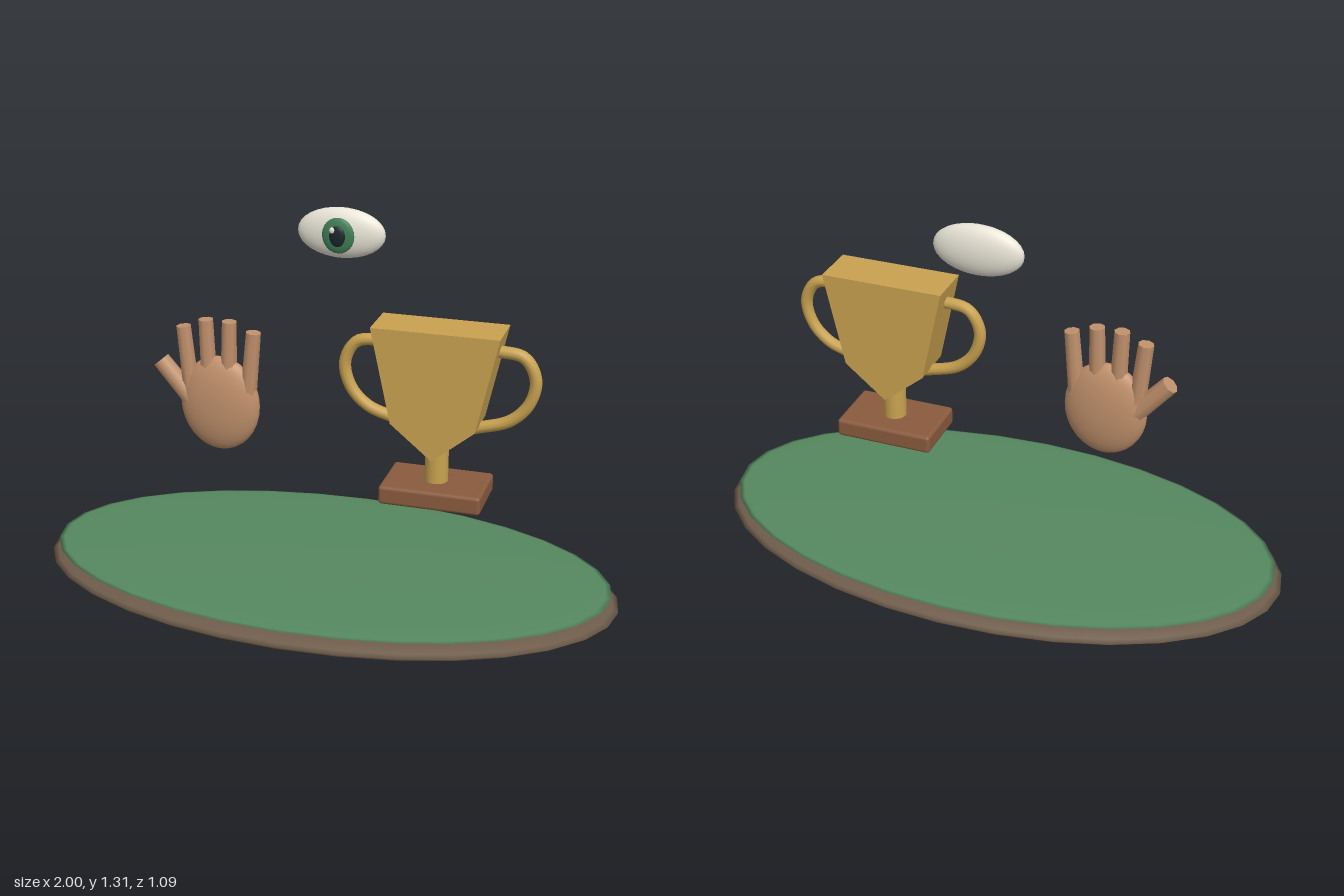
import * as THREE from 'three';
import { RoundedBoxGeometry } from 'three/addons/geometries/RoundedBoxGeometry.js';

const paint = (color) => new THREE.MeshStandardMaterial({ color });
const green = paint(0x55885f), brown = paint(0x6e5c4a), gold = paint(0xc9a250);
const wood = paint(0x8a5b3e), skin = paint(0xc0906b), white = paint(0xe8e4d6);
const irisGreen = paint(0x3f7d56), black = paint(0x1c262c);

function part(parent, name, geometry, material, x = 0, y = 0, z = 0) {
  const mesh = new THREE.Mesh(geometry, material);
  mesh.name = name;
  mesh.position.set(x, y, z);
  parent.add(mesh);
  return mesh;
}

function ellipsoid(parent, name, material, center, radii, segments = 32) {
  const geometry = new THREE.SphereGeometry(1, segments, segments / 2).scale(...radii);
  return part(parent, name, geometry, material, ...center);
}

// Tapered cylinder between two points in the hand's plane
function finger(parent, name, from, to, rTop, rBottom) {
  const a = new THREE.Vector3(...from, 0), b = new THREE.Vector3(...to, 0);
  const dir = b.clone().sub(a);
  const mesh = part(parent, name, new THREE.CylinderGeometry(rTop, rBottom, dir.length(), 8), skin);
  mesh.position.copy(a).add(b).multiplyScalar(0.5);
  mesh.quaternion.setFromUnitVectors(new THREE.Vector3(0, 1, 0), dir.normalize());
}

function createHand() {
  const hand = new THREE.Group();
  hand.name = 'hand';
  ellipsoid(hand, 'palm', skin, [-0.375, 0.643, 0], [0.14, 0.167, 0.05]);
  const tips = [[-0.5, 0.905], [-0.42, 0.935], [-0.337, 0.935], [-0.253, 0.905]];
  tips.forEach(([x, y], i) => {
    const lean = (i - 1.5) * 0.014;
    finger(hand, 'finger' + (i + 1), [x - lean, y - 0.22], [x, y], 0.026, 0.029);
  });
  finger(hand, 'thumb', [-0.46, 0.63], [-0.585, 0.775], 0.031, 0.034);
  return hand;
}

function createTrophy() {
  const trophy = new THREE.Group();
  trophy.name = 'trophy';
  trophy.position.x = 0.377;

  // Solid cup cut from a flat outline
  const outline = [[-0.21, 0.99], [-0.14, 0.67], [0, 0.555], [0.14, 0.67], [0.21, 0.99]];
  const shape = new THREE.Shape(outline.map(([x, y]) => new THREE.Vector2(x, y)));
  const cup = new THREE.ExtrudeGeometry(shape, { depth: 0.16, bevelEnabled: false });
  part(trophy, 'cup', cup.translate(0, 0, -0.08), gold);

  // Curved handles, mirrored left and right
  const path = [[0.18, 0.927], [0.275, 0.912], [0.314, 0.84], [0.295, 0.755], [0.235, 0.693], [0.12, 0.655]];
  for (const side of [1, -1]) {
    const curve = new THREE.CatmullRomCurve3(path.map(([x, y]) => new THREE.Vector3(side * x, y, 0)));
    part(trophy, side > 0 ? 'leftHandle' : 'rightHandle', new THREE.TubeGeometry(curve, 32, 0.02, 10), gold);
  }

  part(trophy, 'stem', new THREE.CylinderGeometry(0.039, 0.039, 0.14, 20), gold, 0, 0.515, 0);
  part(trophy, 'plinth', new RoundedBoxGeometry(0.34, 0.064, 0.22, 3, 0.012), wood, 0, 0.426, 0);
  return trophy;
}

function createEye() {
  const eye = new THREE.Group();
  eye.name = 'eye';
  ellipsoid(eye, 'eyeball', white, [0, 1.222, -0.165], [0.15, 0.085, 0.042]);
  ellipsoid(eye, 'iris', irisGreen, [0, 1.222, -0.125], [0.055, 0.06, 0.014], 24);
  ellipsoid(eye, 'pupil', black, [0, 1.222, -0.113], [0.027, 0.035, 0.009], 20);
  ellipsoid(eye, 'glint', white, [-0.016, 1.243, -0.107], [0.009, 0.011, 0.006], 12);
  return eye;
}

export function createModel() {
  const model = new THREE.Group();
  model.name = 'floatingDisplay';
  // Two flattened discs: table body and green surface
  ellipsoid(model, 'tableBody', brown, [0, 0.06, 0], [1, 0.058, 0.543]);
  ellipsoid(model, 'tableSurface', green, [0, 0.105, 0], [0.975, 0.018, 0.522]);
  model.add(createHand(), createTrophy(), createEye());
  return model;
}
